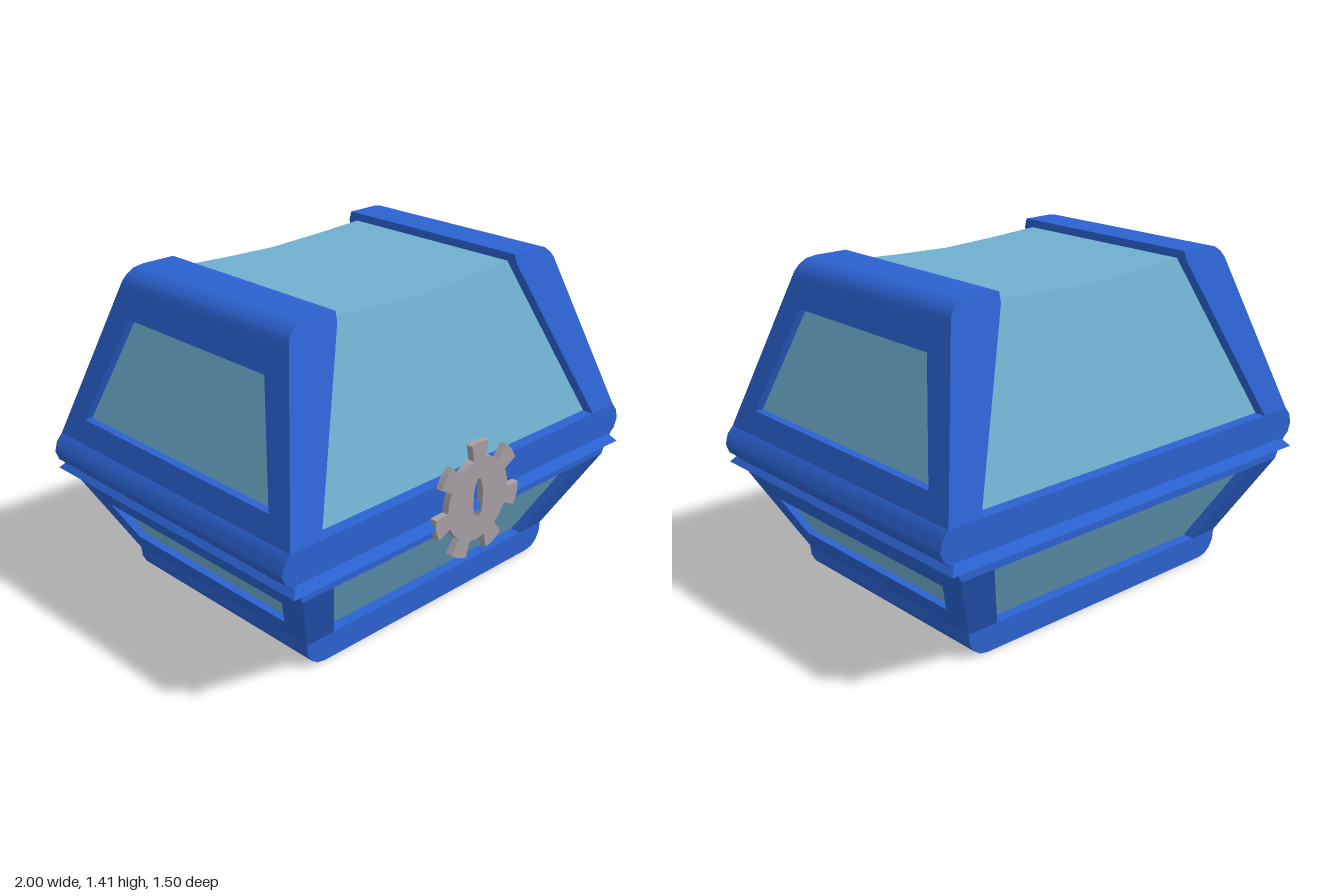
import * as THREE from 'three';
import { toCreasedNormals } from 'three/addons/utils/BufferGeometryUtils.js';

const blue = new THREE.MeshStandardMaterial({ color: 0x2b62d0 });
const glass = new THREE.MeshStandardMaterial({ color: 0x6fb0d0 });
const metal = new THREE.MeshStandardMaterial({ color: 0xa8a0a5 });

const RECESS = 0.05, SIDE_RECESS = 0.035;
const lerpAt = (table, y) => {
  let i = 0;
  while (i < table.length - 2 && y > table[i + 1][0]) i++;
  const [y0, v0] = table[i], [y1, v1] = table[i + 1];
  return v0 + (v1 - v0) * (y - y0) / (y1 - y0);
};
// Half depth and half width of the chest by height
const zAt = (y) => lerpAt([[0, 0.54], [0.11, 0.54], [0.46, 0.72], [0.68, 0.72], [1.41, 0.48]], y);
const xAt = (y) => lerpAt([[0.11, 0.725], [0.46, 0.905], [0.68, 0.96], [1.33, 0.76]], y);

const shapeOf = (pts, hole) => {
  const s = new THREE.Shape(pts.map((p) => new THREE.Vector2(...p)));
  if (hole) s.holes.push(new THREE.Path(hole.map((p) => new THREE.Vector2(...p))));
  return s;
};
const mirrored = (pts) => [...pts, ...pts.map(([x, y]) => [-x, y]).reverse()];

// Extrusion whose depth follows a rule: t runs from 0 (inner) to 1 (outer)
function prism(shape, rule) {
  const g = new THREE.ExtrudeGeometry(shape, { depth: 1, bevelEnabled: false, steps: 1 });
  const p = g.attributes.position;
  for (let i = 0; i < p.count; i++) p.setZ(i, rule(p.getZ(i), p.getY(i)));
  return toCreasedNormals(g, 0.6);
}
const through = (inset) => (t, y) => (2 * t - 1) * (zAt(y) - inset);

function add(parent, name, geometry, material) {
  const m = new THREE.Mesh(geometry, material);
  m.name = name;
  parent.add(m);
  return m;
}

// One end wall and one long face; turned half round it makes the other two
function createHalf() {
  const half = new THREE.Group();
  const cap = [[0.53, 1.33], [0.76, 1.33], [0.752, 1.355], [0.735, 1.38], [0.705, 1.402],
    [0.66, 1.41], [0.51, 1.41], [0.513, 1.37]];
  add(half, 'lidTopRail', prism(shapeOf(cap), through(0)), blue);

  // Corner posts of the long face
  const posts = {
    lidPost: [[0.81, 0.68], [0.96, 0.68], [0.76, 1.33], [0.53, 1.33]],
    basePost: [[0.58, 0.11], [0.725, 0.11], [0.905, 0.46], [0.75, 0.46]],
  };
  for (const [name, pts] of Object.entries(posts))
    for (const s of [1, -1])
      add(half, name, prism(shapeOf(pts.map(([x, y]) => [s * x, y])),
        (t, y) => zAt(y) - (1 - t) * RECESS), blue);

  // End frames with a window in each
  const windows = [
    ['lidEnd', 0.68, 1.33, [[0.575, 0.775], [0.41, 1.22]]],
    ['baseEnd', 0.11, 0.46, [[0.47, 0.21], [0.55, 0.365]]],
  ];
  for (const [name, y0, y1, hole] of windows) {
    const outer = mirrored([[zAt(y0), y0], [zAt(y1), y1]]);
    const frame = prism(shapeOf(outer, mirrored(hole)), (t, y) => xAt(y) - (1 - t) * SIDE_RECESS);
    add(half, name + 'Frame', frame.rotateY(Math.PI / 2), blue);
    const pane = prism(shapeOf(mirrored(hole)), (t, y) => xAt(y) - SIDE_RECESS - (1 - t) * 0.01);
    add(half, name + 'Pane', pane.rotateY(Math.PI / 2), glass);
  }
  return half;
}

function createGear() {
  const pts = [], teeth = 7, step = 2 * Math.PI / teeth;
  const polar = (r, a) => pts.push([r * Math.cos(a), r * Math.sin(a)]);
  for (let k = 0; k < teeth; k++) {
    const a = Math.PI / 2 + k * step;
    polar(0.18, a - 0.2);
    polar(0.25, a - 0.2);
    polar(0.253, a);
    polar(0.25, a + 0.2);
    polar(0.18, a + 0.2);
    for (let j = 1; j < 4; j++) polar(0.18, a + 0.2 + (step - 0.4) * j / 4);
  }
  const shape = shapeOf(pts);
  shape.holes.push(new THREE.Path().absellipse(0, 0, 0.028, 0.092, 0, Math.PI * 2, true));
  return prism(shape, (t) => 0.722 + t * 0.03);
}

export function createModel() {
  const chest = new THREE.Group();
  chest.name = 'chest';

  // Rounded foot and bulging belt
  const foot = [[0.63, 0], [0.67, 0.008], [0.70, 0.03], [0.72, 0.065], [0.725, 0.11]];
  const belt = [[0.905, 0.46], [0.93, 0.51], [0.96, 0.545], [0.985, 0.565], [1, 0.605],
    [0.987, 0.65], [0.96, 0.68]];
  add(chest, 'foot', prism(shapeOf(mirrored(foot)), through(0)), blue);
  add(chest, 'belt', prism(shapeOf(mirrored(belt)), through(0)), blue);

  // Sloped lip between lid and base
  const lip = mirrored([[0.97, 0.51], [0.94, 0.545]]);
  add(chest, 'lip', prism(shapeOf(lip),
    (t, y) => (2 * t - 1) * (y < 0.52 ? 0.75 : 0.72)), blue);

  // Recessed panels, the lid one sagging along its top
  const lidCore = [[0.82, 0.67], [0.525, 1.375], [0.26, 1.36], [0, 1.35],
    [-0.26, 1.36], [-0.525, 1.375], [-0.82, 0.67]];
  add(chest, 'lidPanel', prism(shapeOf(lidCore), through(RECESS)), glass);
  const baseCore = mirrored([[0.585, 0.11], [0.755, 0.46]]);
  add(chest, 'basePanel', prism(shapeOf(baseCore), through(RECESS)), glass);

  for (const [name, turn] of [['frontHalf', 0], ['backHalf', Math.PI]]) {
    const half = createHalf();
    half.name = name;
    half.rotation.y = turn;
    chest.add(half);
  }

  add(chest, 'gearLock', createGear(), metal).position.set(0.015, 0.56, 0);
  return chest;
}
